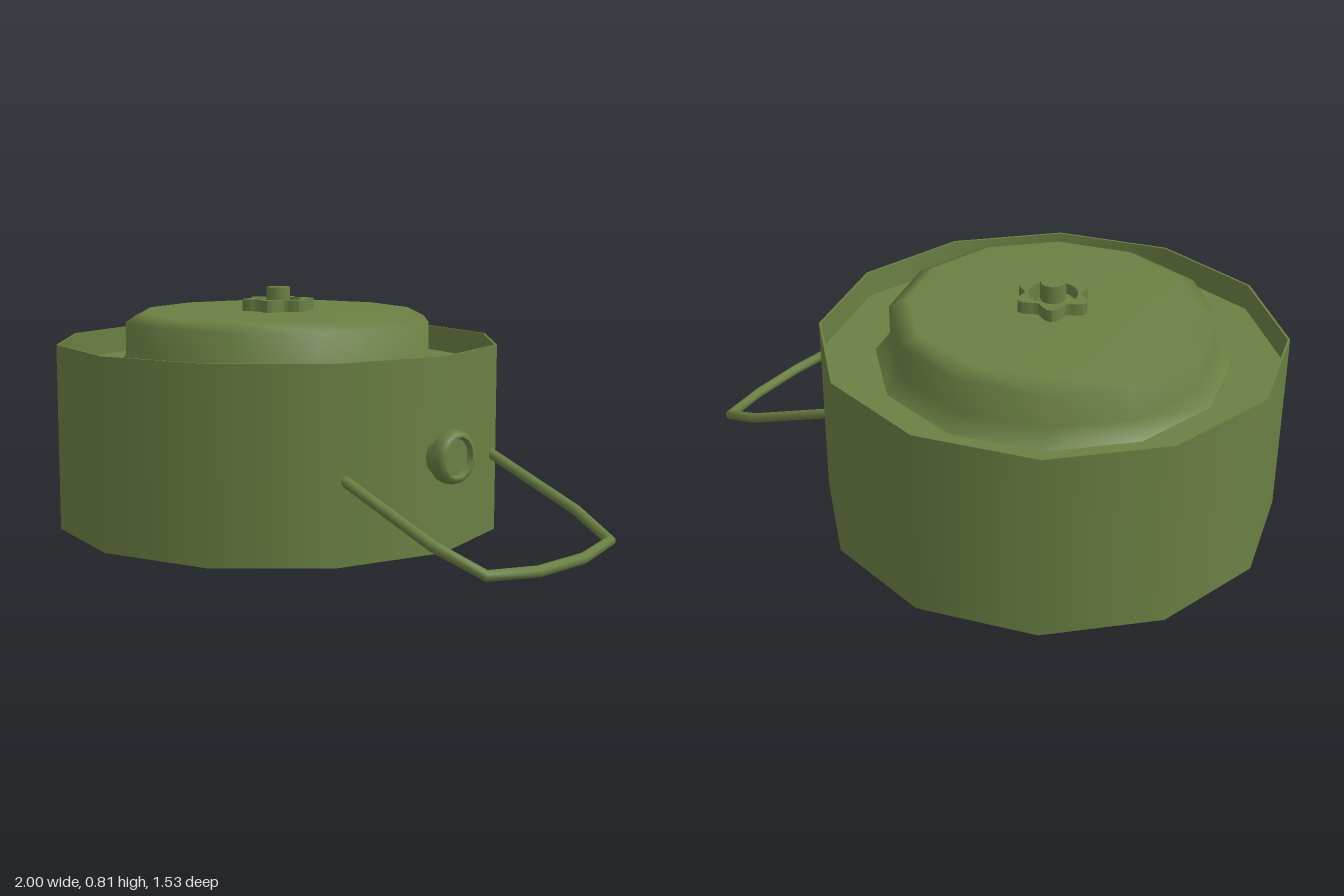
import * as THREE from 'three';
import { mergeGeometries } from 'three/addons/utils/BufferGeometryUtils.js';

const material = new THREE.MeshStandardMaterial({ color: 0x6b8043, side: THREE.DoubleSide });

// Turned part: smooth within each profile strip, sharp between strips
function turned(strips, sides) {
  return mergeGeometries(strips.map((strip) =>
    new THREE.LatheGeometry(strip.map(([r, y]) => new THREE.Vector2(r, y)), sides)));
}

function addPart(parent, name, geometry) {
  const mesh = new THREE.Mesh(geometry, material);
  mesh.name = name;
  parent.add(mesh);
  return mesh;
}

// Path with straight runs and one tube ring at every corner
class BentPath extends THREE.Curve {
  constructor(points) {
    super();
    this.points = points;
  }
  getPoint(t, target = new THREE.Vector3()) {
    const last = this.points.length - 1;
    const i = Math.min(Math.floor(t * last + 1e-9), last - 1);
    return target.lerpVectors(this.points[i], this.points[i + 1], t * last - i);
  }
  getUtoTmapping(u) {
    return u;
  }
}

export function createModel() {
  const model = new THREE.Group();
  model.name = 'roundCase';

  const drum = new THREE.Group();
  drum.name = 'drum';
  drum.position.x = -0.24;
  model.add(drum);

  // Twelve-sided case with a sunken top inside a thin rim
  addPart(drum, 'case', turned([
    [[0, 0], [0.763, 0]],
    [[0.763, 0], [0.763, 0.63]],
    [[0.763, 0.63], [0.755, 0.63]],
    [[0.755, 0.63], [0.755, 0.54]],
    [[0.755, 0.54], [0.58, 0.54]],
  ], 12));

  // Raised lid with a flared foot and bevelled edge
  addPart(drum, 'lid', turned([
    [[0.58, 0.54], [0.53, 0.59], [0.53, 0.70], [0.47, 0.73], [0, 0.73]],
  ], 12));

  // Six-lobed knob ring
  const outline = [];
  for (let i = 0; i < 48; i++) {
    const a = (i / 48) * Math.PI * 2;
    const r = 0.108 + 0.018 * Math.cos(6 * a);
    outline.push(new THREE.Vector2(r * Math.cos(a), r * Math.sin(a)));
  }
  const lobes = new THREE.Shape(outline);
  lobes.holes.push(new THREE.Path().absarc(0, 0, 0.08, 0, Math.PI * 2, true));
  const knob = addPart(drum, 'knobRing', new THREE.ExtrudeGeometry(lobes,
    { depth: 0.045, bevelEnabled: false, curveSegments: 12 }));
  knob.rotation.x = -Math.PI / 2;
  knob.position.y = 0.725;

  // Stem in the middle of the knob
  addPart(drum, 'knobStem', turned([
    [[0.07, 0.73], [0.065, 0.745], [0.042, 0.75]],
    [[0.042, 0.75], [0.042, 0.81]],
    [[0.042, 0.81], [0, 0.81]],
  ], 12));

  // Round plug on the side with a slightly sunken face
  const plug = addPart(model, 'sidePlug', turned([
    [[0.07, 0], [0.07, 0.02]],
    [[0.07, 0.02], [0.086, 0.03], [0.086, 0.065], [0.078, 0.08], [0.066, 0.08]],
    [[0.066, 0.08], [0.06, 0.062]],
    [[0.06, 0.062], [0, 0.062]],
  ], 14));
  plug.rotation.z = -Math.PI / 2;
  plug.position.set(0.505, 0.315, 0);

  // Sloping wire handle, mirrored front to back
  const half = [[0.42, 0.35], [0.78, 0.35], [0.945, 0.305], [0.983, 0.11]];
  const path = [...half, ...half.map(([x, z]) => [x, -z]).reverse()]
    .map(([x, z]) => new THREE.Vector3(x, 0.265 - (x - 0.43) * 0.4, z));
  addPart(model, 'handle', new THREE.TubeGeometry(new BentPath(path), path.length - 1, 0.018, 8));

  return model;
}
